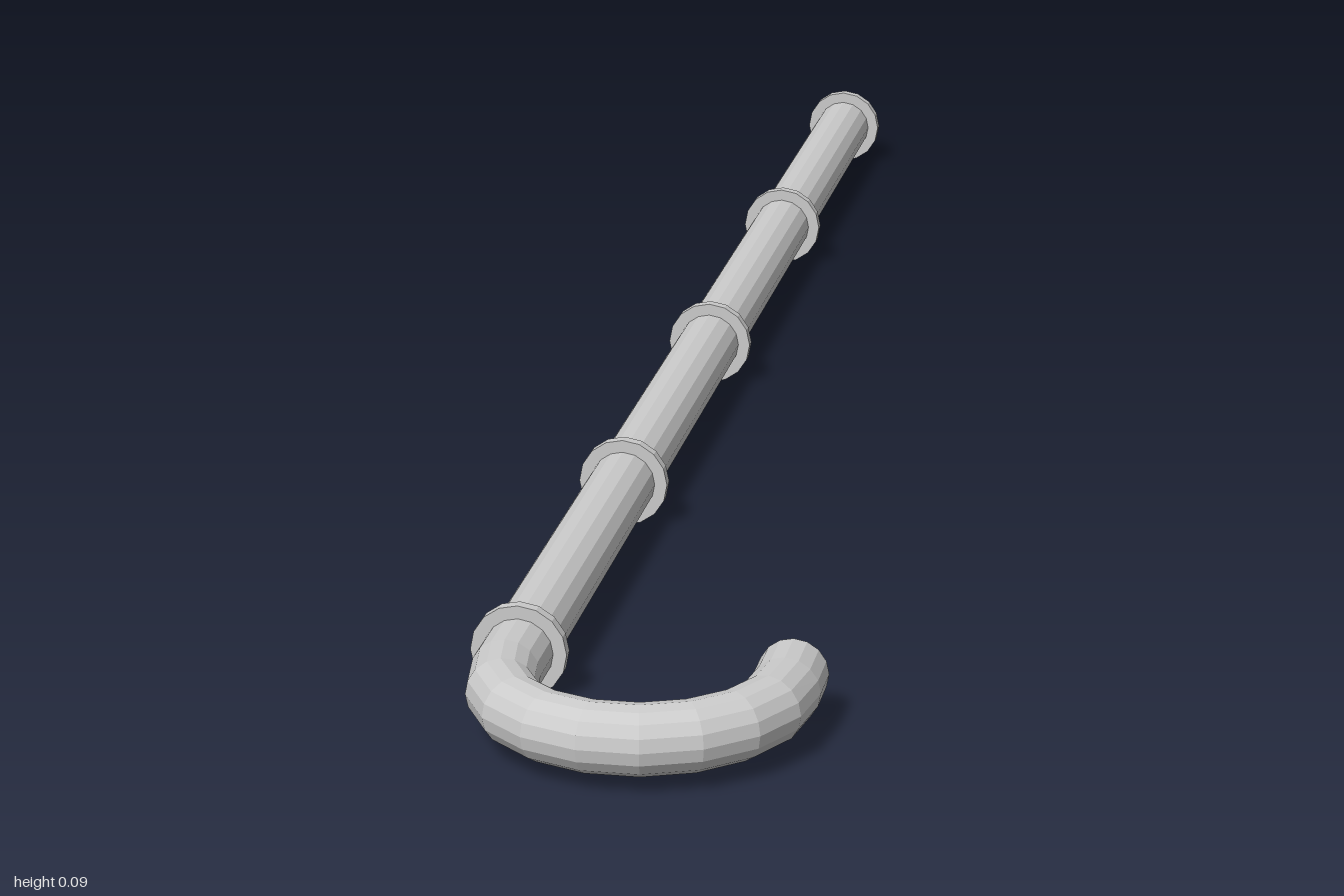
import * as THREE from 'three';

const SIDES = 16, R = 0.031, RING_R = 0.043;
const X = -0.117, Y = 0.043; // shaft axis
const BEND_R = 0.122, BEND_Z = 0.847, HOOK_Z = 0.8;

export function createModel() {
  const group = new THREE.Group();
  const material = new THREE.MeshStandardMaterial({ color: 0xcccccc, flatShading: true });
  const add = (name, geometry, x, y, z) => {
    const mesh = new THREE.Mesh(geometry, material);
    mesh.name = name;
    mesh.position.set(x, y, z);
    group.add(mesh);
    return mesh;
  };
  // cylinder lying along z
  const rod = (radius, length) => new THREE.CylinderGeometry(radius, radius, length, SIDES).rotateX(Math.PI / 2);

  // straight shaft
  add('shaft', rod(R, 1 + HOOK_Z), X, Y, (HOOK_Z - 1) / 2);

  // evenly spaced collars
  for (let i = 0; i < 5; i++) add('collar' + (i + 1), rod(RING_R, 0.011), X, Y, -0.972 + i * 0.4405);

  // hooked handle: short straights joined by a half circle
  const cx = X + BEND_R;
  const points = [new THREE.Vector3(X, Y, HOOK_Z)];
  for (let i = 0; i <= 32; i++) {
    const a = Math.PI * (1 - i / 32);
    points.push(new THREE.Vector3(cx + BEND_R * Math.cos(a), Y, BEND_Z + BEND_R * Math.sin(a)));
  }
  points.push(new THREE.Vector3(cx + BEND_R, Y, HOOK_Z));
  const path = new THREE.CatmullRomCurve3(points);
  add('hook', new THREE.TubeGeometry(path, 11, R, SIDES), 0, 0, 0);

  // flat end of the hook, facing back
  add('hookEnd', new THREE.CircleGeometry(R, SIDES).rotateY(Math.PI), cx + BEND_R, Y, HOOK_Z);

  return group;
}
